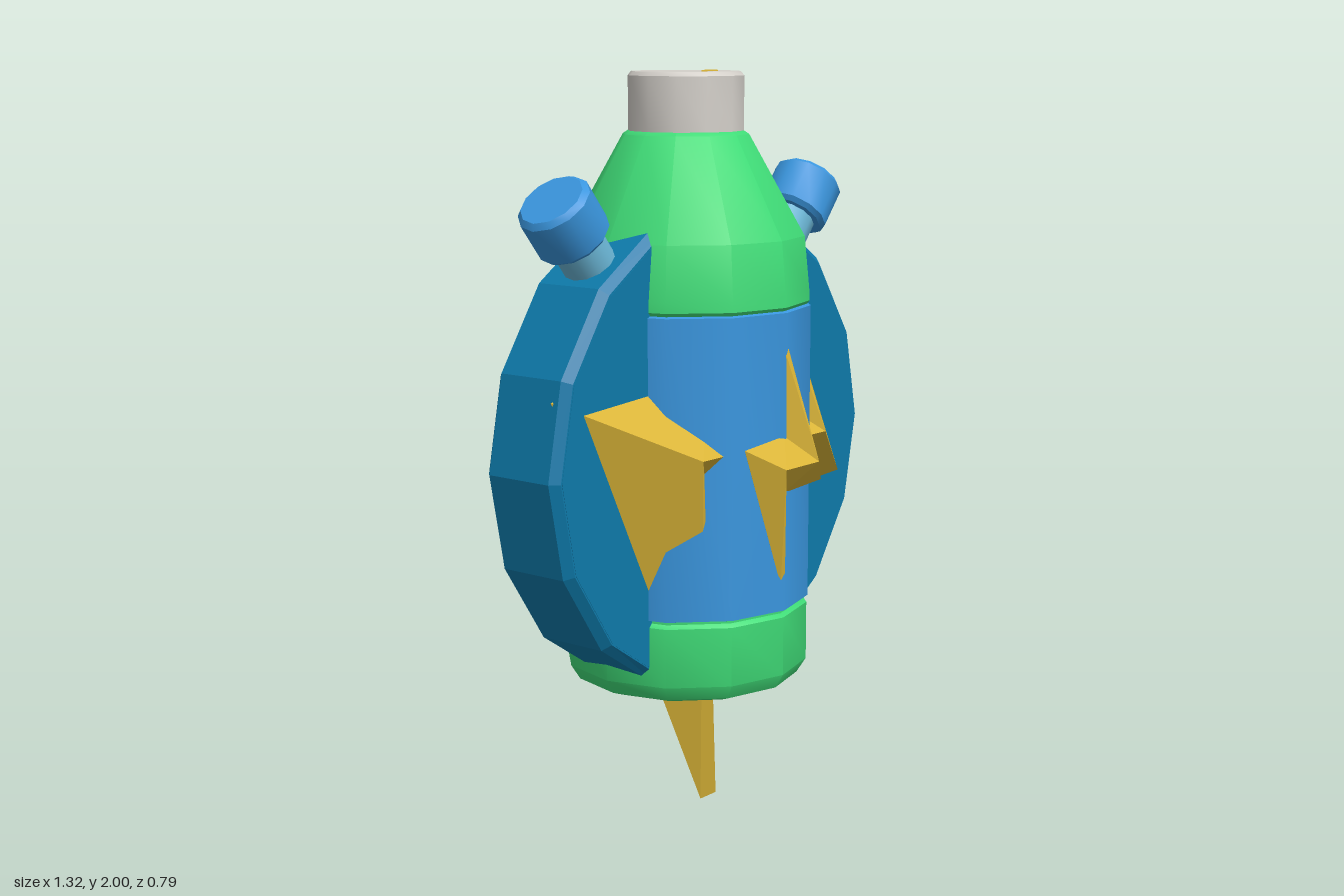
import * as THREE from 'three';
import { toCreasedNormals } from 'three/addons/utils/BufferGeometryUtils.js';

const mat = (name, color) => {
  const m = new THREE.MeshStandardMaterial({ color });
  m.name = name;
  return m;
};

export function createModel() {
  const green = mat('green', 0x40dd78);
  const blue = mat('blue', 0x3a96de);
  const deepBlue = mat('deep blue', 0x0e7aaa);
  const paleBlue = mat('pale blue', 0x6cb8d8);
  const gold = mat('gold', 0xdcb638);
  const grey = mat('warm grey', 0xd4d0ca);

  const model = new THREE.Group();
  const add = (name, geometry, material, parent = model) => {
    const mesh = new THREE.Mesh(geometry, material);
    mesh.name = name;
    parent.add(mesh);
    return mesh;
  };

  // Twelve-sided turned parts, smooth around with crisp rims
  const turned = (profile) => toCreasedNormals(
    new THREE.LatheGeometry(profile.map(([r, y]) => new THREE.Vector2(r, y)), 12), 0.6);

  add('bottleBase', turned([[0, 0.345], [0.27, 0.345], [0.31, 0.36], [0.335, 0.4],
    [0.335, 0.56], [0.325, 0.57], [0.325, 0.58]]), green);
  add('bottleBand', turned([[0.32, 0.575], [0.338, 0.58], [0.338, 1.38], [0.32, 1.387]]), blue);
  add('bottleShoulder', turned([[0.325, 1.38], [0.335, 1.393], [0.334, 1.42], [0.32, 1.565],
    [0.17, 1.832], [0.15, 1.845], [0, 1.845]]), green);
  add('bottleCap', turned([[0, 1.84], [0.156, 1.84], [0.156, 1.985], [0.147, 1.996], [0, 1.996]]), grey);

  // Side shields: a faceted rim, a solid front panel and a recessed grey back
  const arc = (radius, side) => Array.from({ length: 7 }, (_, i) => {
    const a = (i - 3) * Math.PI / 8;
    return new THREE.Vector2(side * radius * Math.cos(a), 1 + radius * Math.sin(a));
  });
  const slab = (points, z0, z1, bevel = 0) => {
    const g = new THREE.ExtrudeGeometry(new THREE.Shape(points), {
      depth: z1 - z0 - 2 * bevel, bevelEnabled: bevel > 0,
      bevelThickness: bevel, bevelSize: bevel, bevelSegments: 1,
    });
    return g.translate(0, 0, z0 + bevel);
  };

  for (const side of [1, -1]) {
    const prefix = side > 0 ? 'left' : 'right';
    const shield = new THREE.Group();
    shield.name = prefix + 'Shield';
    model.add(shield);
    const rim = [...arc(0.64, side), ...arc(0.525, side).reverse()];
    add('shieldRim', slab(rim, -0.125, 0.12, 0.022), deepBlue, shield);
    add('shieldPanel', slab(arc(0.636, side), -0.045, 0.121), deepBlue, shield);
    add('shieldBack', slab(arc(0.52, side), -0.052, -0.045), grey, shield);

    // Angled knob on a thin stem
    const knob = new THREE.Group();
    knob.name = prefix + 'Knob';
    knob.position.set(side > 0 ? 0.523 : -0.487, 1.635, 0);
    knob.rotation.z = -side * 0.69;
    model.add(knob);
    add('knobStem', turned([[0, -0.26], [0.07, -0.26], [0.07, -0.05], [0, -0.05]]), paleBlue, knob);
    add('knobHead', turned([[0, -0.07], [0.088, -0.07], [0.1, -0.058], [0.1, 0.056],
      [0.086, 0.07], [0, 0.07]]), blue, knob);
  }

  // Faceted bolt: a flat zigzag outline raised to a ridge on both faces
  const boltGeometry = () => {
    const w = 0.034;
    const outline = [[-w, 1], [0, 0.24], [-0.63, 0.2], [-w, -1],
      [w, -1], [0, -0.23], [0.63, -0.2], [w, 1]];
    const ridge = [[-0.27, 0.02], [0.27, 0.02]];
    const faces = [[0, 1, 9], [1, 8, 9], [1, 2, 8], [2, 3, 8], [3, 4, 8],
      [4, 5, 8], [5, 9, 8], [5, 6, 9], [6, 7, 9], [7, 0, 9]];
    const pos = [];
    const put = (i, s) => (i < 8 ? pos.push(...outline[i], 0) : pos.push(...ridge[i - 8], s * 0.195));
    for (const f of faces) {
      f.forEach((i) => put(i, 1));
      [...f].reverse().forEach((i) => put(i, -1));
    }
    const g = new THREE.BufferGeometry();
    g.setAttribute('position', new THREE.Float32BufferAttribute(pos, 3));
    g.computeVertexNormals();
    return g;
  };
  const bolt = boltGeometry();
  add('largeBolt', bolt, gold).position.set(0, 1, 0.08);
  for (const [name, z] of [['frontBolt', 0.332], ['backBolt', -0.332]]) {
    const small = add(name, bolt, gold);
    small.position.set(0, 0.975, z);
    small.scale.set(0.27, 0.325, 0.32);
  }

  return model;
}
